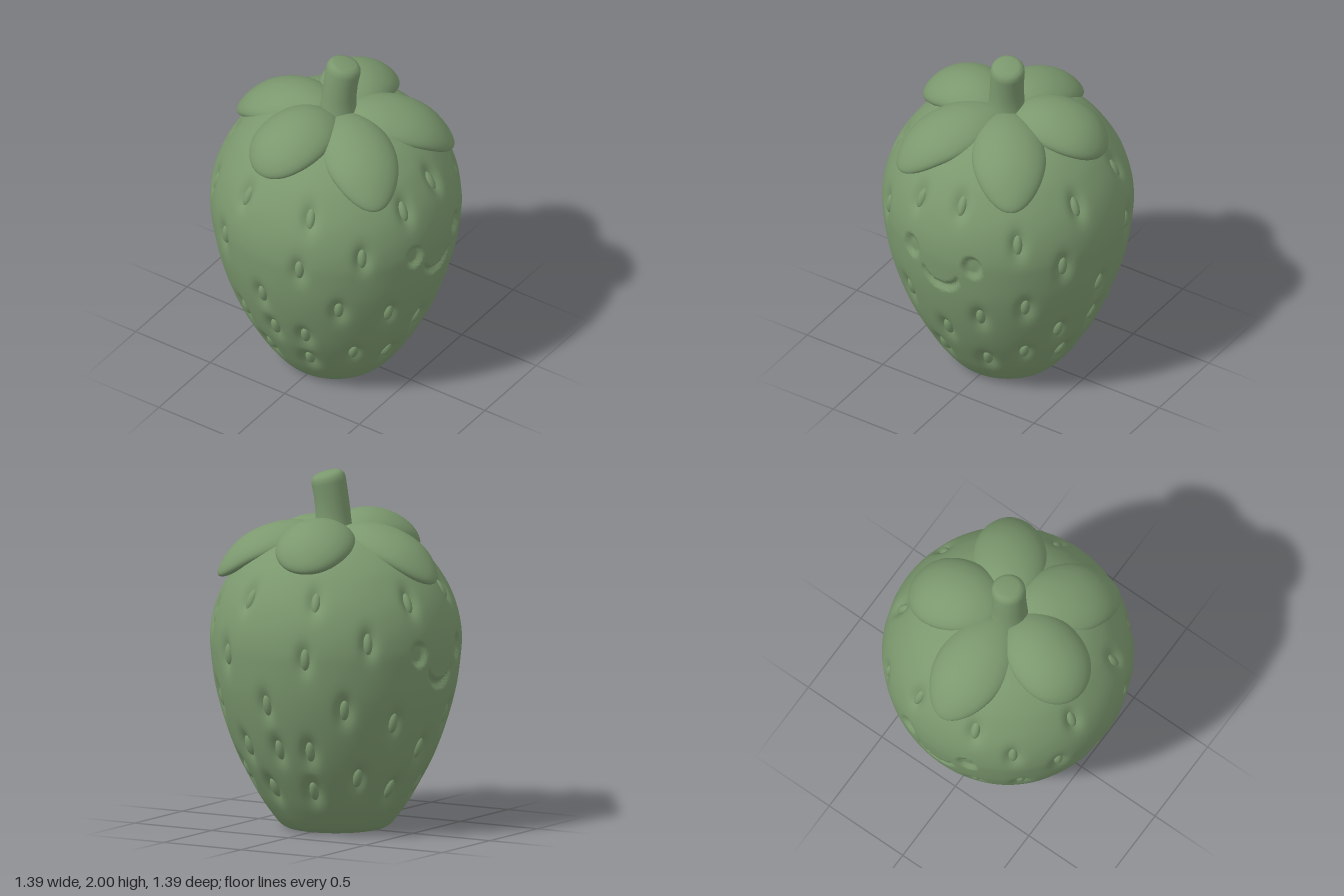
import * as THREE from 'three';
import { mergeVertices } from 'three/addons/utils/BufferGeometryUtils.js';

const green = new THREE.MeshStandardMaterial({ color: 0x7b986e, roughness: 0.8 });
const V2 = (x, y) => new THREE.Vector2(x, y);
const V3 = (x, y, z) => new THREE.Vector3(x, y, z);

// Berry side profile (radius, height), resampled evenly
const profile = new THREE.SplineCurve([
  [0.275, 0.003], [0.31, 0.025], [0.37, 0.1], [0.435, 0.2], [0.54, 0.4], [0.615, 0.6], [0.668, 0.8],
  [0.694, 1.0], [0.695, 1.1], [0.68, 1.2], [0.648, 1.3], [0.595, 1.4], [0.52, 1.5], [0.41, 1.59],
  [0.25, 1.66], [0, 1.69],
].map(([r, y]) => V2(r, y))).getSpacedPoints(150);

// Radius, slope and outward normal of the profile at a height
function ringAt(y) {
  let i = 1;
  while (i < profile.length - 2 && profile[i].y < y) i++;
  const a = profile[i - 1], b = profile[i + 1];
  const n = V2(b.y - a.y, a.x - b.x).normalize();
  return { r: profile[i].x, y, n };
}

// Seeds as [degrees around from the front, height]; the half turn repeats them
const seeds = [];
[[-19, 1.34], [21, 1.35], [-52, 1.2], [47, 1.12], [-30, 1.01], [17, 1.03], [-48, 0.74], [-5, 0.75],
  [36, 0.74], [63, 0.65], [109, 0.65], [87, 0.48], [-27, 0.49], [-2, 0.49], [17, 0.49],
  [-46, 0.33], [46, 0.33], [-17, 0.25], [16, 0.25], [73, 0.25], [109, 0.25], [72, 1.33],
].forEach(([a, y]) => [0, 180].forEach((turn) => seeds.push([a + turn, y])));
seeds.push([97.5, 1.38], [288, 1.36]);
const sites = seeds.map(([deg, y]) => ({ phi: THREE.MathUtils.degToRad(deg), ...ringAt(y) }));

// Angle difference wrapped to -PI..PI
const wrap = (a) => Math.atan2(Math.sin(a), Math.cos(a));
const step = (d) => 1 - THREE.MathUtils.smoothstep(d, -0.007, 0.007);

// Depth of the sunken eyes and smile at a spot on the face
function faceDepth(u, y) {
  const eye = (Math.hypot((Math.abs(u) - 0.198) / 0.05, (y - 1.04) / 0.066) - 1) * 0.055;
  const smile = Math.max(Math.hypot(u, y - 0.945) - 0.115, 0.1214 - Math.hypot(u, y - 0.996));
  return 0.025 * Math.max(step(eye), step(smile));
}

// Berry body with seed pits and the face pressed in on both sides
function berry() {
  let geo = new THREE.LatheGeometry([V2(0, 0), V2(0.14, 0), V2(0.262, 0), ...profile], 320);
  geo.deleteAttribute('uv');
  geo.deleteAttribute('normal');
  geo = mergeVertices(geo, 1e-5);
  const pos = geo.attributes.position;
  for (let i = 0; i < pos.count; i++) {
    const x = pos.getX(i), y = pos.getY(i), z = pos.getZ(i);
    const r = Math.hypot(x, z), phi = Math.atan2(x, z);
    if (y < 0.05 || y > 1.6) continue;
    let depth = 0;
    for (const s of sites) {
      if (Math.abs(y - s.y) > 0.25) continue;
      const du = r * wrap(phi - s.phi), dv = Math.hypot(y - s.y, r - s.r);
      depth = Math.max(depth, 0.036 * Math.exp(-((du / 0.043) ** 2) - (dv / 0.08) ** 2));
    }
    for (const side of [Math.PI / 2, -Math.PI / 2]) {
      const d = wrap(phi - side);
      if (Math.abs(d) < 0.6) depth = Math.max(depth, faceDepth(r * Math.sin(d), y));
    }
    if (depth < 1e-4) continue;
    const n = ringAt(y).n, k = (r - depth * n.x) / r;
    pos.setXYZ(i, x * k, y - depth * n.y, z * k);
  }
  geo.computeVertexNormals();
  return geo;
}

// Puffy leaf: a ball swept along a drooping spine, tapered toward its ends
function leaf({ spine, width, thick, taper }) {
  const curve = new THREE.CatmullRomCurve3(spine.map(([s, y]) => V3(s, y, 0)));
  let geo = new THREE.SphereGeometry(1, 40, 32);
  geo.deleteAttribute('uv');
  geo.deleteAttribute('normal');
  geo = mergeVertices(geo, 1e-5);
  const pos = geo.attributes.position;
  for (let i = 0; i < pos.count; i++) {
    const a = pos.getY(i), b = pos.getZ(i), c = pos.getX(i);
    const t = (a + 1) / 2, p = curve.getPoint(t), d = curve.getTangent(t);
    const w = width * b * (1 - taper * a * a), h = -thick * c;
    pos.setXYZ(i, p.x - d.y * h, p.y + d.x * h - 0.9 * w * w, w);
  }
  geo.computeVertexNormals();
  return geo;
}

// Rounded stem, bent sideways and cut at a slant
function stem() {
  let geo = new THREE.LatheGeometry([
    [0.12, 1.62], [0.1, 1.7], [0.096, 1.78], [0.094, 1.86], [0.095, 1.93], [0.092, 1.955],
    [0.08, 1.973], [0.06, 1.981], [0, 1.984],
  ].map(([r, y]) => V2(r, y)), 40);
  geo.deleteAttribute('uv');
  geo.deleteAttribute('normal');
  geo = mergeVertices(geo, 1e-5);
  const pos = geo.attributes.position;
  for (let i = 0; i < pos.count; i++) {
    const x = pos.getX(i), y = pos.getY(i), z = pos.getZ(i), t = (y - 1.65) / 0.33;
    pos.setXYZ(i, x + 0.015 + 0.027 * t * t, y + (0.16 * z - 0.2 * x) * t, z - 0.028 * t * t);
  }
  geo.computeVertexNormals();
  return geo;
}

export function createModel() {
  const model = new THREE.Group();
  model.name = 'strawberry';
  const add = (name, geo, parent = model) => {
    const mesh = new THREE.Mesh(geo, green);
    mesh.name = name;
    parent.add(mesh);
    return mesh;
  };

  add('berryBody', berry());
  add('stem', stem());

  // Seeds lying in their pits
  const seedGroup = new THREE.Group();
  seedGroup.name = 'seeds';
  model.add(seedGroup);
  const seedGeo = new THREE.SphereGeometry(1, 16, 12).scale(0.027, 0.062, 0.028);
  for (const s of sites) {
    const seed = add('seed', seedGeo, seedGroup);
    const r = s.r - 0.03 * s.n.x;
    seed.position.set(r * Math.sin(s.phi), s.y - 0.03 * s.n.y, r * Math.cos(s.phi));
    seed.rotation.set(-Math.atan2(s.n.y, s.n.x), s.phi, 0, 'YXZ');
  }

  // Crown of five leaves: pointed ones on the sides, rounder ones front and back
  const pointed = leaf({
    spine: [[0.02, 1.65], [0.24, 1.645], [0.45, 1.57], [0.635, 1.41]], width: 0.205, thick: 0.075, taper: 0.15,
  });
  const round = leaf({
    spine: [[0.04, 1.645], [0.24, 1.675], [0.43, 1.62], [0.58, 1.5]], width: 0.215, thick: 0.088, taper: 0.02,
  });
  [[180, pointed], [105, round], [-105, round], [36, pointed], [-36, pointed]].forEach(([deg, geo]) => {
    const l = add('leaf', geo);
    l.rotation.y = THREE.MathUtils.degToRad(deg);
    l.position.x = deg === 180 ? 0 : 0.02;
  });
  return model;
}
